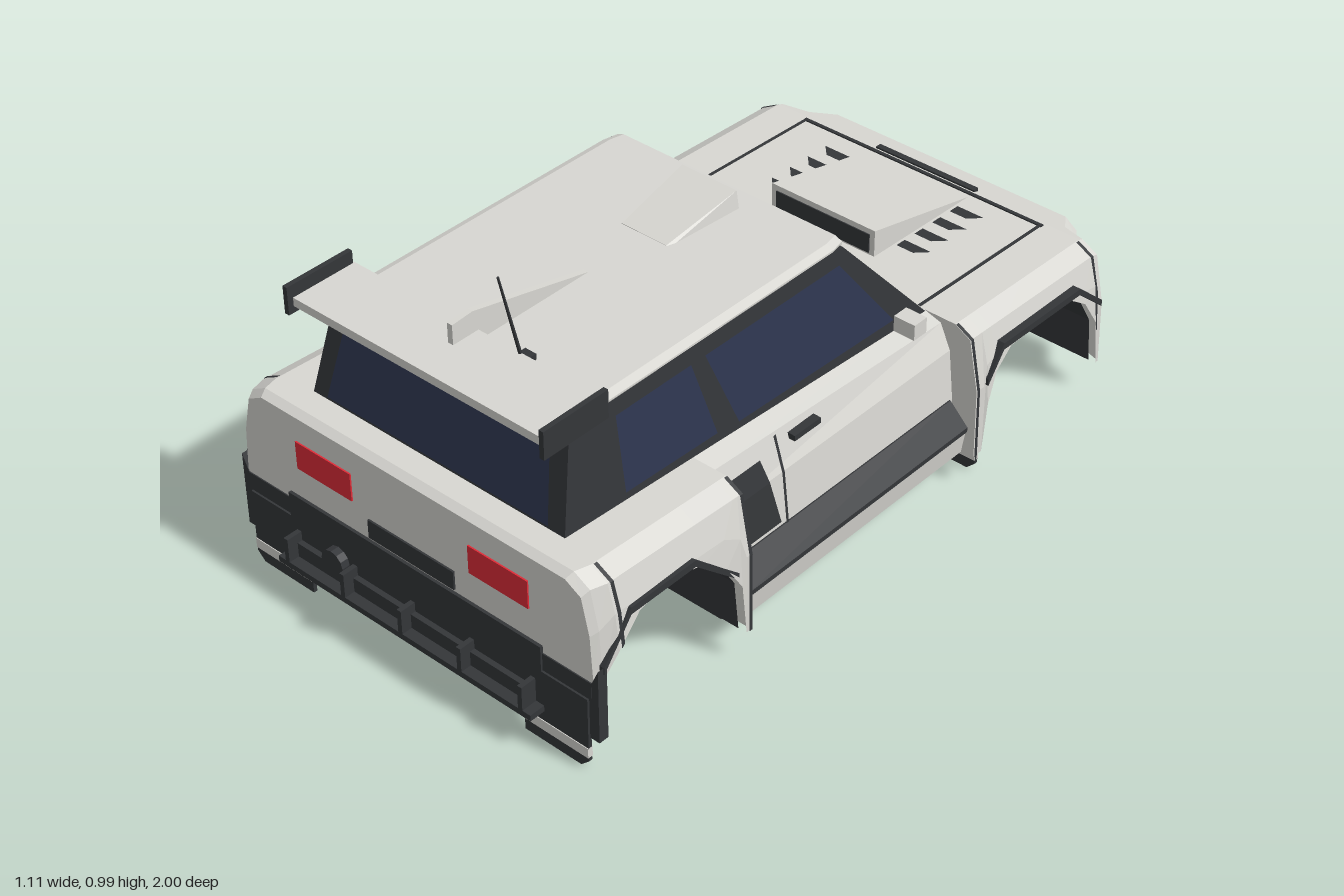
import * as THREE from 'three';

const mat = (color) => new THREE.MeshStandardMaterial({ color, flatShading: true, side: THREE.DoubleSide });
const PAINT = mat(0xd8d7d2), DARK = mat(0x343639), GLASS = mat(0x2e3650), RED = mat(0xdf2c38), LAMP = mat(0xbfae6a), LENS = mat(0xb9b8a8);

// Piecewise linear lookup in a table of [key, value]
function at(table, v) {
  if (v <= table[0][0]) return table[0][1];
  for (let i = 1; i < table.length; i++) {
    const [a, p] = table[i - 1], [b, q] = table[i];
    if (v <= b) return p + (q - p) * (v - a) / (b - a);
  }
  return table[table.length - 1][1];
}

function triangles(tris) {
  const g = new THREE.BufferGeometry();
  g.setAttribute('position', new THREE.Float32BufferAttribute(tris.flat(2), 3));
  g.computeVertexNormals();
  return g;
}

// Flat convex face
const face = (pts) => triangles(pts.slice(2).map((p, i) => [pts[0], pts[i + 1], p]));

// Skin over cross-sections, optionally closed at both ends
function loft(sections, caps = false) {
  const t = [];
  for (let i = 0; i + 1 < sections.length; i++) {
    const A = sections[i], B = sections[i + 1];
    for (let j = 0; j + 1 < A.length; j++) t.push([A[j], A[j + 1], B[j]], [A[j + 1], B[j + 1], B[j]]);
  }
  if (caps) {
    const first = sections[0], last = sections[sections.length - 1];
    for (let j = 1; j + 1 < first.length; j++) t.push([first[0], first[j + 1], first[j]], [last[0], last[j], last[j + 1]]);
  }
  return triangles(t);
}

const shapeOf = (pts) => new THREE.Shape(pts.map(([a, b]) => new THREE.Vector2(a, b)));

// Side profile given as [z, y], extruded across x
function sidePrism(pts, x, width) {
  const g = new THREE.ExtrudeGeometry(shapeOf(pts), { depth: width, bevelEnabled: false });
  return g.rotateY(-Math.PI / 2).translate(x + width / 2, 0, 0);
}

// Front profile given as [x, y], extruded along z
const frontPrism = (pts, z0, z1) =>
  new THREE.ExtrudeGeometry(shapeOf(pts), { depth: z1 - z0, bevelEnabled: false }).translate(0, 0, z0);

const box = (x0, x1, y0, y1, z0, z1) =>
  new THREE.BoxGeometry(Math.abs(x1 - x0), y1 - y0, z1 - z0).translate((x0 + x1) / 2, (y0 + y1) / 2, (z0 + z1) / 2);

// Body rules: top height, half width and wheel arch outlines along z
const TOP = [[-0.94, 0.39], [-0.83, 0.425], [-0.34, 0.44], [0.47, 0.48], [0.87, 0.5], [0.935, 0.502], [0.95, 0.49]];
const WIDTH = [[-0.94, 0.42], [-0.875, 0.47], [-0.85, 0.55], [0.9, 0.555], [0.95, 0.535]];
const FRONT_ARCH = [[-0.84, 0.09], [-0.825, 0.22], [-0.78, 0.295], [-0.72, 0.335], [-0.6, 0.35], [-0.48, 0.335], [-0.42, 0.295], [-0.385, 0.22], [-0.37, 0.09]];
const REAR_ARCH = [[0.485, 0.09], [0.5, 0.23], [0.55, 0.31], [0.62, 0.365], [0.72, 0.39], [0.82, 0.37], [0.89, 0.31], [0.93, 0.245]];
const SIDE = [[0, 0.475], [0.025, 0.52], [0.1, 0.54], [0.19, 0.55]];

// Half of a fender section, from the arch edge up to the shoulder
function fenderSide(z, arch, s = 1, grow = 1) {
  const top = at(TOP, z), low = at(arch, z), knee = top - 0.025;
  return [low, Math.min(top - 0.19, low) * 0.4 + (knee - 0.01) * 0.6, knee, top]
    .map((y) => [s * grow * at(SIDE, top - y) * at(WIDTH, z) / 0.55, y, z]);
}
const mirrored = (half) => [...half, ...half.map(([x, y, z]) => [-x, y, z]).reverse()];

export function createModel() {
  const root = new THREE.Group();
  const add = (name, geo, material) => {
    const m = new THREE.Mesh(geo, material);
    m.name = name;
    root.add(m);
    return m;
  };

  // Fender bodies, rear (+z) and nose (-z)
  const rearZ = [0.47, ...REAR_ARCH.map((p) => p[0]), 0.95];
  const noseZ = [-0.94, -0.875, -0.85, ...FRONT_ARCH.map((p) => p[0]), -0.34];
  add('rearBody', loft(rearZ.map((z) => mirrored(fenderSide(z, REAR_ARCH))), true), PAINT);
  add('noseBody', loft(noseZ.map((z) => mirrored(fenderSide(z, FRONT_ARCH))), true), PAINT);

  // Door section and floor
  const door = (z) => mirrored([[0.48, 0.09, z], [0.48, 0.225, z], [0.465, 0.36, z], [0.435, at(TOP, z) - 0.015, z], [0.385, at(TOP, z), z]]);
  add('doorBody', loft([door(-0.34), door(0.47)]), PAINT);
  add('floor', box(-0.48, 0.48, 0.085, 0.095, -0.37, 0.485), DARK);

  // Wheel wells
  for (const [name, arch] of [['front', FRONT_ARCH], ['rear', [...REAR_ARCH, [0.945, 0.09]]]]) {
    add(name + 'WheelWell', loft(arch.map(([z, y]) => [[0.53, y - 0.002, z], [-0.53, y - 0.002, z]])), DARK);
    add(name + 'WellWall', sidePrism(arch, 0, 0.01), DARK);
  }

  // Cabin
  const side = (z, y, s = 1, out = 0) => [s * (0.39 - (y - 0.44) * 0.1356 + out), y, z];
  const c = (s) => [side(0.865, 0.5, s), side(0.81, 0.737, s), side(-0.07, 0.737, s), side(-0.338, 0.438, s)];
  const [L, R] = [c(1), c(-1)];
  add('cabinSides', loft([L, R]), DARK);
  add('cabinLeft', face([...L].reverse()), DARK);
  add('cabinRight', face(R), DARK);
  const roofAt = (z, w) => mirrored([[w, 0.733, z], [w, 0.742, z], [w - 0.02, 0.75, z]]);
  add('roof', loft([roofAt(-0.08, 0.34), roofAt(-0.04, 0.348), roofAt(0.815, 0.35)], true), PAINT);
  const slope = (y, out) => -0.338 + (y - 0.438) * 0.896 - out;
  add('windshield', face([[-0.33, 0.46, slope(0.46, 0.004)], [-0.3, 0.715, slope(0.715, 0.004)], [0.3, 0.715, slope(0.715, 0.004)], [0.33, 0.46, slope(0.46, 0.004)]]), GLASS);
  add('rearWindow', face([[-0.335, 0.508, 0.867], [0.335, 0.508, 0.867], [0.305, 0.705, 0.821], [-0.305, 0.705, 0.821]]), GLASS);

  const strip = (z, y0, y1) => [[z - 0.005, y0], [z + 0.005, y0], [z + 0.005, y1], [z - 0.005, y1]];
  for (const s of [1, -1]) {
    const n = s > 0 ? 'left' : 'right';
    // Side glass
    add(n + 'FrontWindow', face([[0.4, 0.7], [-0.05, 0.7], [-0.22, 0.475], [0.32, 0.492]].map(([z, y]) => side(z, y, s, 0.003))), GLASS);
    add(n + 'RearWindow', face([[0.68, 0.7], [0.445, 0.7], [0.39, 0.5], [0.68, 0.51]].map(([z, y]) => side(z, y, s, 0.003))), GLASS);
    // Sill: painted step below a dark sloped band
    add(n + 'Sill', frontPrism([[0.47, 0.09], [0.525, 0.1], [0.535, 0.165], [0.47, 0.165]].map(([x, y]) => [s * x, y]), -0.325, 0.455), PAINT);
    add(n + 'SillBand', frontPrism([[0.47, 0.162], [0.536, 0.162], [0.536, 0.175], [0.483, 0.228], [0.47, 0.228]].map(([x, y]) => [s * x, y]), -0.33, 0.46), DARK);
    // Door details, laid on the leaning door skin
    const skin = (z, y) => [s * (at([[0.225, 0.48], [0.36, 0.465], [0.45, 0.437]], y) + 0.004), y, z];
    for (const z of [0.265, 0.465]) add(n + 'DoorSeam', loft([z - 0.004, z + 0.004].map((q) => [0.1, 0.225, 0.36, 0.45].map((y) => skin(q, y)))), DARK);
    add(n + 'SideIntake', loft([0.24, 0.36, 0.42].map((y) => [skin(0.46, y), skin(0.285 + (y - 0.24) * 0.22, y)])), DARK);
    add(n + 'DoorHandle', box(s * 0.44, s * 0.462, 0.417, 0.432, 0.13, 0.22), DARK);
    add(n + 'Mirror', box(s * 0.4, s * 0.46, 0.458, 0.5, -0.25, -0.205), PAINT);
    // Fender seams
    for (const [z, arch] of [[0.88, REAR_ARCH], [-0.825, FRONT_ARCH], [-0.345, FRONT_ARCH], [0.474, REAR_ARCH]])
      add(n + 'FenderSeam', loft([z - 0.005, z + 0.005].map((q) => fenderSide(q, arch, s, 1.005))), DARK);
    // Angular arch trims
    const trims = { Front: [[-0.84, 0.28], [-0.74, 0.365], [-0.435, 0.37], [-0.38, 0.295]], Rear: [[0.51, 0.275], [0.65, 0.4], [0.85, 0.4], [0.935, 0.29]] };
    for (const [end, t] of Object.entries(trims))
      add(n + end + 'ArchTrim', sidePrism([...t, ...t.map(([z, y]) => [z, y - 0.018]).reverse()], s * 0.535, 0.035), DARK);
    // Mud flaps with a light band
    for (const [end, z, top] of [['Rear', 0.953, 0.2], ['Front', -0.393, 0.14]]) {
      const flap = [[0.335, 0.003], [0.5, 0.003], [0.523, 0.025], [0.523, top], [0.335, top]];
      add(n + end + 'MudFlap', frontPrism(flap.map(([x, y]) => [s * x, y]), z - 0.005, z + 0.005), DARK);
      add(n + end + 'FlapBand', box(s * 0.336, s * 0.523, 0.035, 0.062, z - 0.007, z + 0.007), PAINT);
    }
    // Lights
    add(n + 'TailLight', box(s * 0.18, s * 0.355, 0.35, 0.425, 0.94, 0.954), RED);
    add(n + 'HeadLight', box(s * 0.19, s * 0.36, 0.305, 0.36, -0.944, -0.93), LENS);
    // Wing end plates and struts
    add(n + 'WingEndPlate', box(s * 0.373, s * 0.386, 0.738, 0.81, 0.73, 0.92), DARK);
    add(n + 'WingStrut', box(s * 0.225, s * 0.257, 0.73, 0.757, 0.78, 0.87), DARK);
    // Hood seams and slanted vents
    const hood = (x, z) => [s * x, at(TOP, z) + 0.003, z];
    add(n + 'HoodSeam', face([hood(0.365, -0.34), hood(0.375, -0.34), hood(0.375, -0.825), hood(0.365, -0.825)]), DARK);
    for (let i = 0; i < 4; i++) {
      const z = -0.735 + i * 0.07;
      add(n + 'HoodVent', face([hood(0.17, z - 0.016), hood(0.25, z - 0.016), hood(0.22, z + 0.016), hood(0.17, z + 0.016)]), DARK);
    }
  }

  // Hood seam, slot and rising scoop
  add('hoodFrontSeam', box(-0.375, 0.375, 0.42, 0.429, -0.826, -0.816), DARK);
  add('hoodSlot', box(-0.155, 0.155, 0.41, 0.427, -0.855, -0.838), DARK);
  add('hoodScoop', sidePrism([[-0.81, 0.425], [-0.435, 0.435], [-0.435, 0.51]], 0, 0.32), PAINT);
  add('hoodScoopOpening', box(-0.145, 0.145, 0.443, 0.495, -0.437, -0.432), DARK);

  // Roof scoop, fin and antenna
  const scoop = (z, w, y) => mirrored([[w, 0.745, z], [w - 0.008, y, z]]);
  add('roofScoop', loft([scoop(-0.02, 0.09, 0.795), scoop(0.2, 0.075, 0.751)], true), PAINT);
  add('roofScoopOpening', box(-0.073, 0.073, 0.754, 0.785, -0.023, -0.018), DARK);
  add('roofFin', sidePrism([[0.38, 0.748], [0.8, 0.748], [0.8, 0.828], [0.74, 0.832]], 0, 0.015), PAINT);
  add('antennaBase', box(0.115, 0.147, 0.75, 0.765, 0.695, 0.73), DARK);
  const mast = add('antenna', new THREE.CylinderGeometry(0.003, 0.005, 0.25, 6), DARK);
  mast.position.set(0.131, 0.874, 0.75);
  mast.rotation.x = 0.24;

  // Rear wing
  add('wing', box(-0.375, 0.375, 0.755, 0.777, 0.725, 0.905), PAINT);

  // Rear bumper with ribs, tow hook and plate recess
  add('bumperCorners', frontPrism([[-0.55, 0.09], [0.55, 0.09], [0.55, 0.29], [0.53, 0.245], [0.52, 0.21], [-0.52, 0.21], [-0.53, 0.245], [-0.55, 0.29]], 0.925, 0.952), DARK);
  add('bumperSides', box(-0.53, 0.53, 0.2, 0.247, 0.93, 0.953), DARK);
  add('bumperCentre', box(-0.39, 0.39, 0.1, 0.267, 0.93, 0.958), DARK);
  add('bumperTray', box(-0.395, 0.395, 0.09, 0.106, 0.93, 1), DARK);
  add('bumperBar', box(-0.365, 0.365, 0.106, 0.145, 0.94, 0.972), DARK);
  for (let i = -2; i <= 2; i++) add('bumperRib', sidePrism([[0.95, 0.1], [1, 0.1], [1, 0.17], [0.95, 0.17]], i * 0.1825, 0.013), DARK);
  add('towCover', new THREE.CylinderGeometry(0.034, 0.034, 0.03, 12).rotateX(Math.PI / 2).translate(-0.235, 0.16, 0.965), DARK);
  add('plateRecess', box(-0.132, 0.132, 0.275, 0.325, 0.94, 0.955), DARK);

  // Nose: grille, lower opening and lamp bar
  add('grille', box(-0.14, 0.14, 0.312, 0.352, -0.944, -0.93), DARK);
  add('lowerGrille', box(-0.345, 0.345, 0.125, 0.265, -0.945, -0.93), DARK);
  add('lampBar', box(-0.327, 0.327, 0.14, 0.232, -0.99, -0.955), DARK);
  add('lampBarMount', box(-0.25, 0.25, 0.16, 0.21, -0.96, -0.94), DARK);
  for (const x of [-0.25, -0.083, 0.083, 0.25])
    add('spotLamp', new THREE.CylinderGeometry(0.06, 0.06, 0.035, 12).rotateX(Math.PI / 2).translate(x, 0.186, -0.982), LAMP);

  return root;
}
